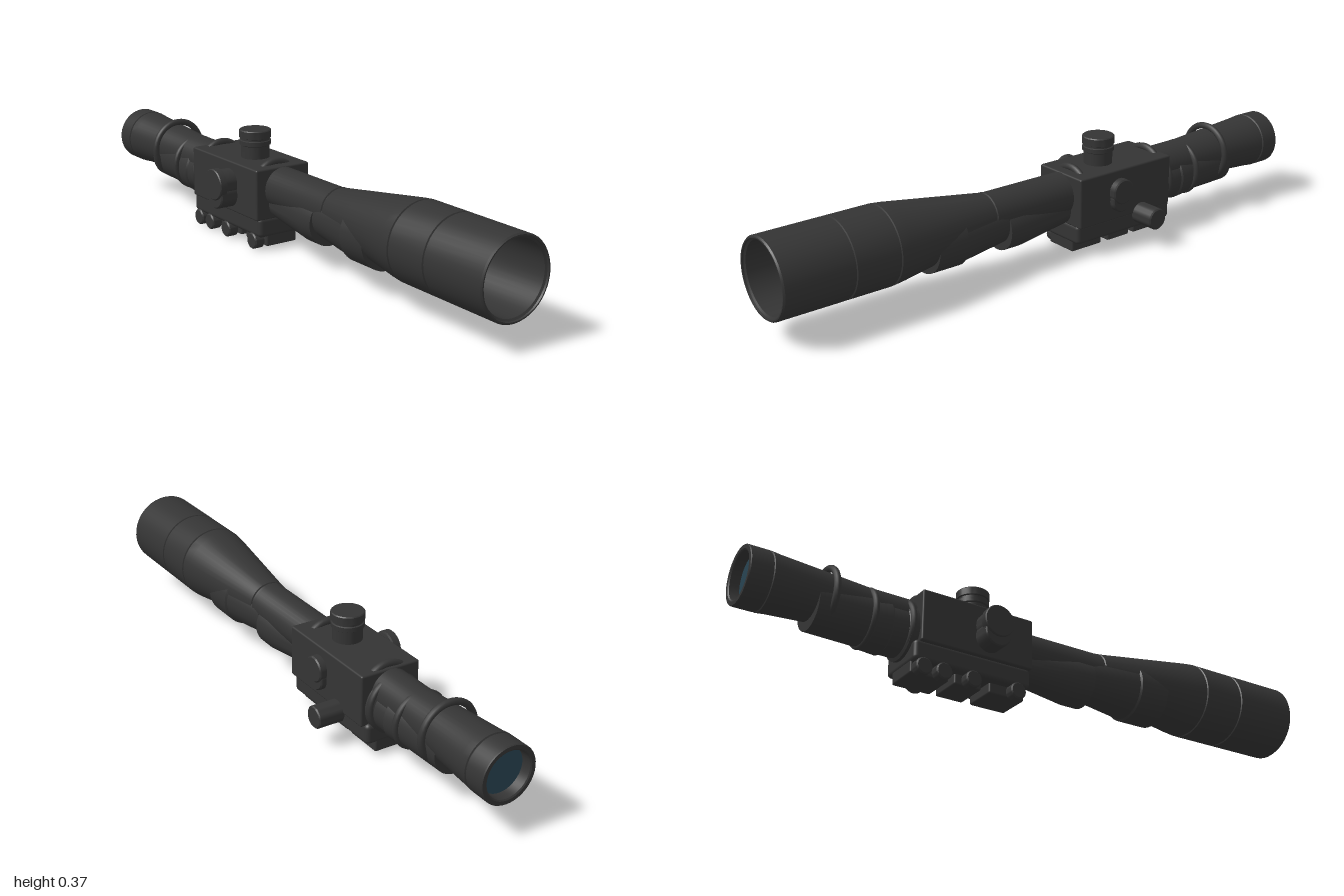
import * as THREE from 'three';
import { toCreasedNormals } from 'three/addons/utils/BufferGeometryUtils.js';
import { RoundedBoxGeometry } from 'three/addons/geometries/RoundedBoxGeometry.js';

const AX = -0.01; // x of the optical axis
const AY = 0.203; // height of the optical axis

export function createModel() {
  const group = new THREE.Group();
  const body = new THREE.MeshStandardMaterial({ color: 0x343434 });
  body.name = 'matte black metal';
  const lens = new THREE.MeshStandardMaterial({ color: 0x284452 });
  lens.name = 'blue glass';

  function add(name, geometry, x, y, z, material = body) {
    const mesh = new THREE.Mesh(geometry, material);
    mesh.name = name;
    mesh.position.set(x, y, z);
    group.add(mesh);
    return mesh;
  }
  // Turned part: profile of [radius, position] along the y axis
  function turned(profile, segments = 40) {
    const points = profile.map(([r, p]) => new THREE.Vector2(r, p));
    return toCreasedNormals(new THREE.LatheGeometry(points, segments), 0.4);
  }
  // Turned part lying along the optical axis
  const tube = (name, profile, y = AY) => add(name, turned(profile).rotateX(Math.PI / 2), AX, y, 0);
  // Fine groove cut into a profile
  const groove = (r, z) => [[r, z - 0.004], [r - 0.004, z - 0.002], [r - 0.004, z + 0.002], [r, z + 0.004]];
  // Knob profile with bevelled ends
  const knob = (r, h, b = 0.004) => turned([[0, 0], [r - b, 0], [r, b], [r, h - b], [r - b, h], [0, h]], 32);
  function box(name, x0, x1, y0, y1, z0, z1, r) {
    add(name, new RoundedBoxGeometry(x1 - x0, y1 - y0, z1 - z0, 3, r),
      (x0 + x1) / 2, (y0 + y1) / 2, (z0 + z1) / 2);
  }
  function ring(name, y, z, r, t) {
    add(name, new THREE.TorusGeometry(r, t, 10, 40), AX, y, z);
  }

  // Main tube with hollow objective bell and hollow eyepiece
  tube('mainTube', [
    [0, -0.965], [0.072, -0.965], [0.074, -0.997], [0.078, -1], [0.09, -1], [0.092, -0.997],
    ...groove(0.092, -0.93),
    [0.089, -0.9], [0.07, -0.61], [0.069, -0.46],
    [0.069, 0.22], ...groove(0.071, 0.235),
    [0.122, 0.58], ...groove(0.126, 0.62), ...groove(0.126, 0.77),
    [0.126, 0.995], [0.122, 1], [0.118, 1], [0.117, 0.994], [0.111, 0.99],
    [0.111, 0.76], [0, 0.76],
  ]);

  // Lenses
  add('objectiveLens', new THREE.CircleGeometry(0.111, 40), AX, AY, 0.763, lens);
  add('eyepieceLens', new THREE.CircleGeometry(0.072, 40).rotateY(Math.PI), AX, AY, -0.967, lens);

  // Lower sleeves emerging beneath the main tube
  tube('frontSleeve', [[0, 0.19], [0.072, 0.19], [0.094, 0.36], [0.1, 0.365], [0.1, 0.47], [0, 0.47]], 0.174);
  tube('middleSleeve', [[0, -0.08], [0.053, -0.08], [0.08, 0.13], [0.08, 0.188], [0, 0.188]], 0.155);
  tube('rearSleeve', [[0, -0.78], [0.078, -0.78], [0.082, -0.6], [0, -0.6]], 0.168);
  tube('rearCollar', [[0, -0.61], [0.08, -0.61], [0.085, -0.545], [0.08, -0.54], [0.08, -0.49], [0.09, -0.485], [0.09, -0.455], [0, -0.455]], 0.161);

  // Raised rings
  ring('eyepieceRing', AY, -0.735, 0.092, 0.011);
  ring('zoomRing', 0.175, -0.605, 0.086, 0.01);
  ring('collarRing', 0.17, -0.48, 0.086, 0.01);
  for (const z of [-0.115, -0.44]) ring('mountRing', AY, z, 0.079, 0.012);

  // Mount housing, base and rail
  box('mountHousing', -0.112, 0.093, 0.105, 0.274, -0.46, -0.07, 0.006);
  box('mountBase', -0.1, 0.08, 0.045, 0.112, -0.475, -0.07, 0.014);
  for (const [z0, z1] of [[-0.2, -0.075], [-0.322, -0.228], [-0.472, -0.342]]) {
    box('railClamp', -0.07, 0.047, 0.012, 0.06, z0, z1, 0.006);
  }
  for (const z of [-0.115, -0.273, -0.375, -0.443]) {
    add('clampKnob', knob(0.027, 0.037).rotateZ(-Math.PI / 2), -0.105, 0.028, z);
  }

  // Top turret
  add('topTurret', turned([
    [0, 0], [0.047, 0], [0.047, 0.065], [0.052, 0.068], [0.052, 0.082], [0.048, 0.084],
    [0.048, 0.09], [0.053, 0.092], [0.053, 0.115], [0.05, 0.118], [0, 0.118],
  ], 32), AX, 0.25, -0.23);

  // Side turret: paired overlapping discs on each side
  add('rightTurret', turned([
    [0, 0], [0.046, 0], [0.046, 0.05], [0.052, 0.053], [0.052, 0.075], [0.049, 0.078], [0, 0.078],
  ], 32).rotateZ(Math.PI / 2), -0.1, 0.203, -0.23);
  add('rightLowerTurret', knob(0.046, 0.072).rotateZ(Math.PI / 2), -0.1, 0.167, -0.23);
  add('leftCap', knob(0.042, 0.037).rotateZ(-Math.PI / 2), 0.08, 0.203, -0.235);
  add('leftLowerCap', knob(0.04, 0.032).rotateZ(-Math.PI / 2), 0.08, 0.173, -0.235);

  // Long side knob
  add('sideKnob', knob(0.036, 0.09).rotateZ(-Math.PI / 2), 0.086, 0.102, -0.332);

  return group;
}
